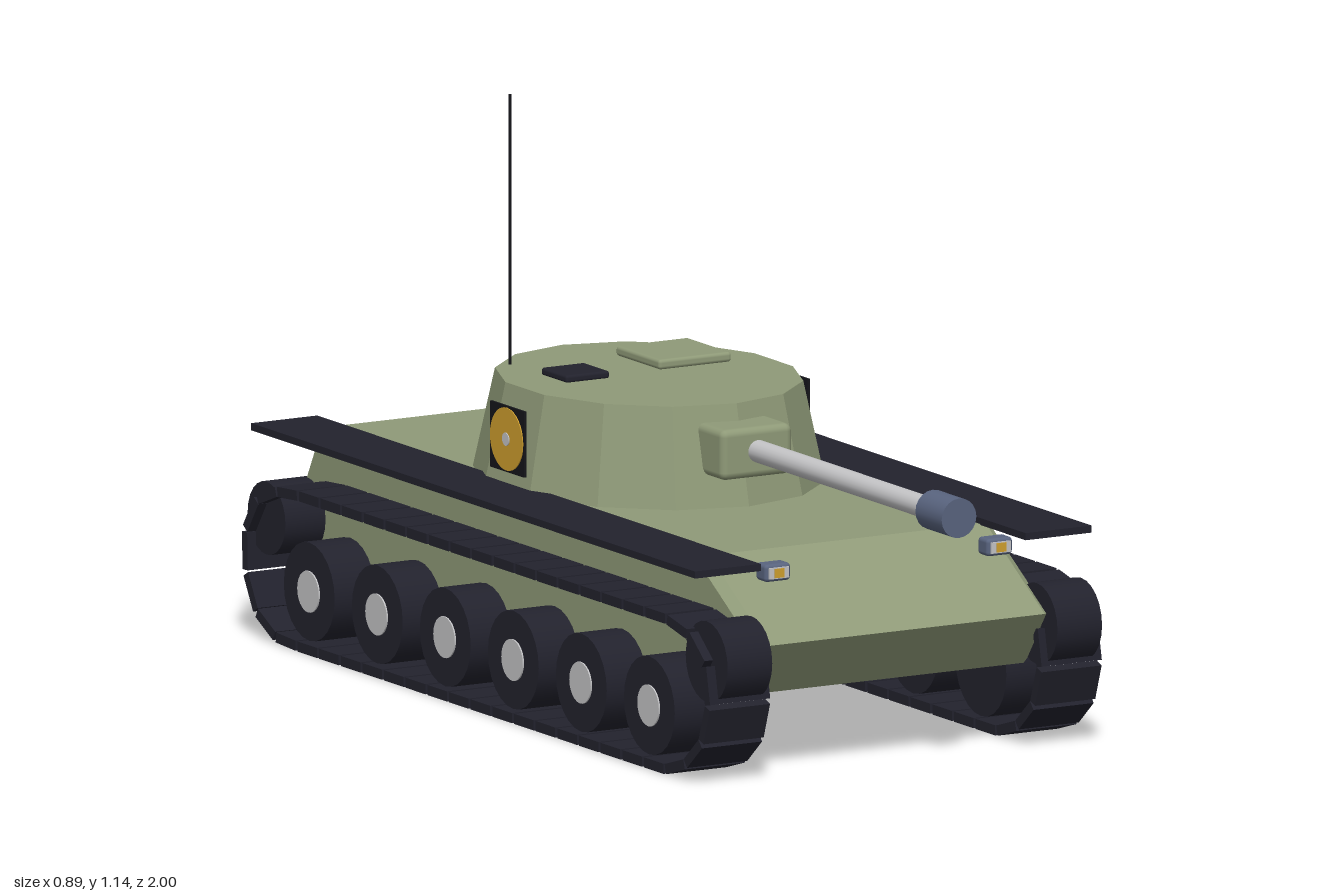
import * as THREE from 'three';
import { RoundedBoxGeometry } from 'three/addons/geometries/RoundedBoxGeometry.js';

const mat = (name, color) => {
  const m = new THREE.MeshStandardMaterial({ color });
  m.name = name;
  return m;
};

export function createModel() {
  const olive = mat('olive paint', 0x8f9a78);
  const dark = mat('dark rubber', 0x22222d);
  const silver = mat('light metal', 0xc4c4c6);
  const slate = mat('slate metal', 0x59647f);
  const gold = mat('gold', 0xcf9f2e);
  const green = mat('green cans', 0x43b05c);
  const black = mat('black', 0x15151a);

  const model = new THREE.Group();
  model.name = 'tank';

  const add = (name, geo, material, x, y, z, parent = model) => {
    const mesh = new THREE.Mesh(geo, material);
    mesh.name = name;
    mesh.position.set(x, y, z);
    parent.add(mesh);
    return mesh;
  };
  const box = (w, h, d) => new THREE.BoxGeometry(w, h, d);
  const round = (w, h, d, r) => new RoundedBoxGeometry(w, h, d, 2, r);
  // cylinders lying along x (wheels, discs) and along z (gun)
  const cylX = (r, w, n = 24) => new THREE.CylinderGeometry(r, r, w, n).rotateZ(Math.PI / 2);
  const cylZ = (r, len, n = 20) => new THREE.CylinderGeometry(r, r, len, n).rotateX(Math.PI / 2);

  // Hull: side profile (z, y) extruded across x with a chamfer
  const profile = new THREE.Shape([
    [0.575, 0.41], [0.80, 0.27], [0.72, 0.16], [-0.88, 0.16], [-0.965, 0.26], [-0.885, 0.41],
  ].map(([z, y]) => new THREE.Vector2(z, y)));
  const hull = new THREE.ExtrudeGeometry(profile, {
    depth: 0.62, bevelEnabled: true, bevelSegments: 1,
    bevelThickness: 0.02, bevelSize: 0.015, bevelOffset: -0.015,
  });
  hull.translate(0, 0, -0.31).rotateY(-Math.PI / 2);
  add('hull', hull, olive, 0, 0, 0);

  // Turret: faceted oval frustum
  const turret = new THREE.CylinderGeometry(0.872, 1, 0.2, 14).toNonIndexed();
  turret.scale(0.328, 1, 0.382);
  turret.computeVertexNormals();
  add('turret', turret, olive, 0, 0.505, -0.18);
  add('mantlet', round(0.16, 0.1, 0.11, 0.015), olive, 0, 0.522, 0.18);
  add('barrel', cylZ(0.022, 0.7), silver, 0, 0.525, 0.56);
  add('muzzle', cylZ(0.039, 0.1), slate, 0, 0.525, 0.95);
  add('hatch', round(0.163, 0.02, 0.168, 0.007), olive, 0.117, 0.615, -0.285);
  add('sight', round(0.098, 0.016, 0.098, 0.006), dark, -0.133, 0.611, -0.235);
  add('antenna', new THREE.CylinderGeometry(0.003, 0.003, 0.535, 8), black, -0.183, 0.87, -0.4);

  // Fuel cans on the rear
  for (const x of [-0.148, -0.043]) {
    add('fuelCan', round(0.085, 0.15, 0.046, 0.012), green, x, 0.315, -0.945);
  }

  // Closed track outline (z, y), walked at equal steps
  const outline = [
    [0.63, 0.307], [0.735, 0.285], [0.785, 0.225], [0.79, 0.14], [0.75, 0.06], [0.66, 0.01],
    [-0.85, 0.01], [-0.925, 0.04], [-0.972, 0.12], [-0.975, 0.21], [-0.92, 0.285], [-0.83, 0.307],
  ].map(([z, y]) => new THREE.Vector3(0, y, z));
  const path = new THREE.CurvePath();
  outline.forEach((p, i) => path.add(new THREE.LineCurve3(p, outline[(i + 1) % outline.length])));
  const linkCount = Math.round(path.getLength() / 0.083);
  const pitch = path.getLength() / linkCount;
  const linkGeo = box(0.135, 0.02, pitch * 0.9);
  const tyreGeo = cylX(0.097, 0.1);
  const hubGeo = cylX(0.041, 0.01);

  for (const s of [-1, 1]) {
    const side = s > 0 ? 'left' : 'right';

    add(side + 'Fender', box(0.148, 0.014, 1.69), dark, s * 0.371, 0.415, -0.095);

    const track = new THREE.Group();
    track.name = side + 'Track';
    model.add(track);
    for (let i = 0; i < linkCount; i++) {
      // a chord between neighbours sets the tilt of each link
      const a = path.getPointAt(i / linkCount);
      const b = path.getPointAt((i + 1) / linkCount % 1);
      const link = add('trackLink', linkGeo, dark, s * 0.372, (a.y + b.y) / 2, (a.z + b.z) / 2, track);
      link.rotation.x = -Math.atan2(b.y - a.y, b.z - a.z);
    }

    // Running gear
    for (let i = 0; i < 6; i++) {
      const z = 0.537 - i * 0.259;
      add(side + 'RoadWheel', tyreGeo, dark, s * 0.372, 0.119, z);
      add(side + 'WheelHub', hubGeo, silver, s * 0.42, 0.119, z);
    }
    add(side + 'FrontIdler', cylX(0.08, 0.1), dark, s * 0.37, 0.242, 0.752);
    add(side + 'RearSprocket', cylX(0.072, 0.1), dark, s * 0.37, 0.235, -0.924);

    // Lights
    add(side + 'Headlight', round(0.058, 0.035, 0.04, 0.008), slate, s * 0.249, 0.397, 0.715);
    add(side + 'HeadlightLens', box(0.044, 0.022, 0.004), silver, s * 0.249, 0.397, 0.736);
    add(side + 'HeadlightBulb', box(0.022, 0.018, 0.004), gold, s * 0.249, 0.397, 0.738);
    add(side + 'TailLight', round(0.048, 0.028, 0.022, 0.006), slate, s * 0.265, 0.375, -0.915);
    add(side + 'TailLens', box(0.034, 0.016, 0.004), silver, s * 0.265, 0.375, -0.926);

    // Round badge on a square plate beside the turret
    add(side + 'BadgePlate', box(0.005, 0.13, 0.13), black, s * 0.318, 0.51, -0.177);
    add(side + 'BadgeDisc', cylX(0.062, 0.005, 32), gold, s * 0.32, 0.51, -0.177);
    add(side + 'BadgeCentre', cylX(0.013, 0.005, 16), silver, s * 0.322, 0.51, -0.177);
  }

  return model;
}
